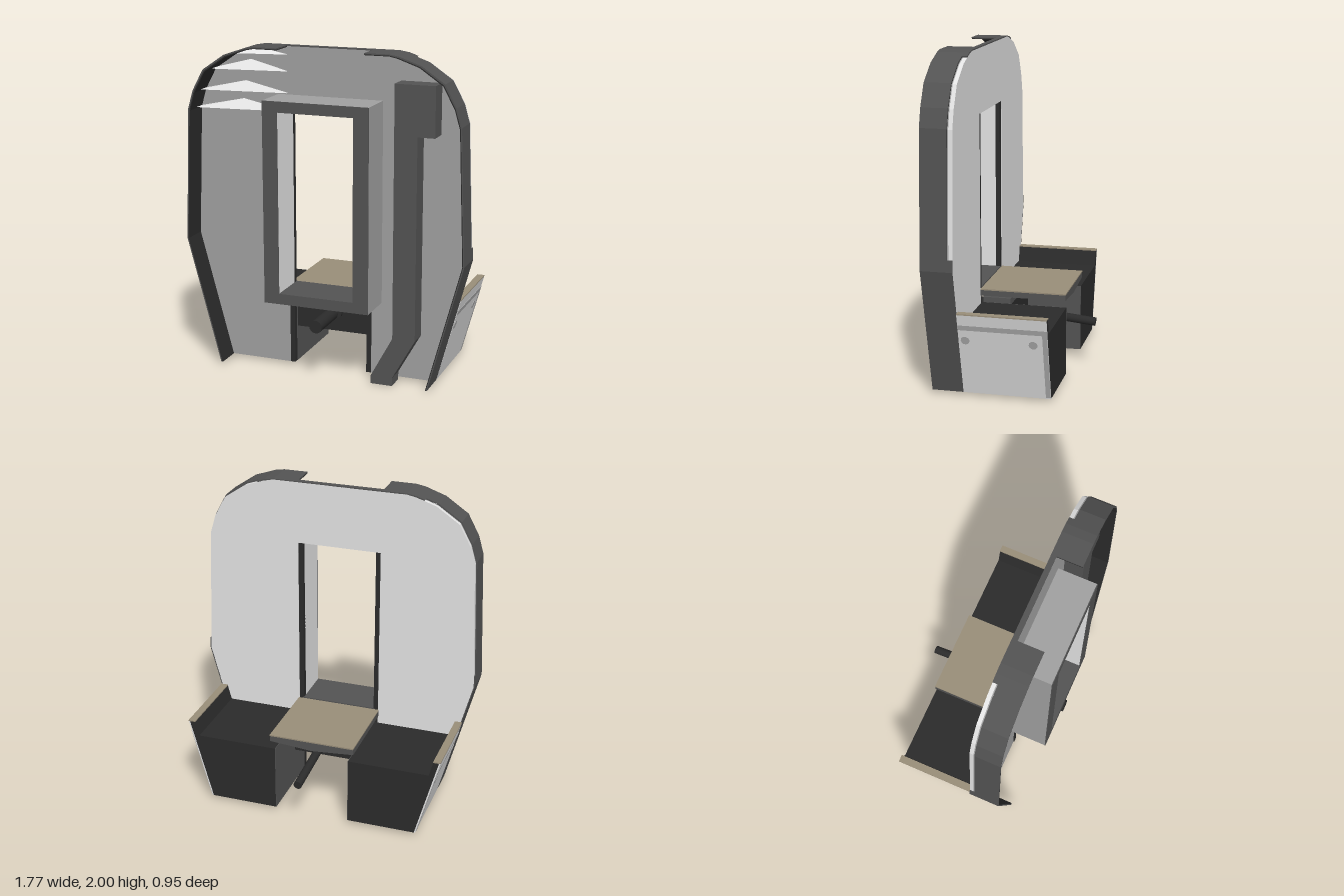
import * as THREE from 'three';
import { ConvexGeometry } from 'three/addons/geometries/ConvexGeometry.js';

export function createModel() {
  const model = new THREE.Group();
  const material = (name, color) => {
    const m = new THREE.MeshStandardMaterial({ color });
    m.name = name;
    return m;
  };
  const grey = material('grey', 0xa0a0a0);
  const white = material('white', 0xe3e3e3);
  const marking = material('marking grey', 0xaeaeae);
  const dark = material('dark grey', 0x535353);
  const black = material('black', 0x2b2b2b);
  const tan = material('tan', 0x998e79);

  const add = (name, geometry, mat, parent = model) => {
    const mesh = new THREE.Mesh(geometry, mat);
    mesh.name = name;
    parent.add(mesh);
    return mesh;
  };
  const box = (name, mat, x0, x1, y0, y1, z0, z1, parent = model) => {
    const mesh = add(name, new THREE.BoxGeometry(x1 - x0, y1 - y0, z1 - z0), mat, parent);
    mesh.position.set((x0 + x1) / 2, (y0 + y1) / 2, (z0 + z1) / 2);
  };
  const toShape = (pts) => new THREE.Shape(pts.map(([x, y]) => new THREE.Vector2(x, y)));
  const extrude = (name, mat, shape, z0, z1) => {
    const g = new THREE.ExtrudeGeometry(shape, { depth: z1 - z0, bevelEnabled: false });
    g.translate(0, 0, z0);
    add(name, g, mat);
  };
  const flip = (pts, s) => pts.map(([x, y]) => [s * x, y]);
  const rod = (name, from, to, r) => {
    const a = new THREE.Vector3(...from), b = new THREE.Vector3(...to);
    const mesh = add(name, new THREE.CylinderGeometry(r, r, a.distanceTo(b), 16), black);
    mesh.position.copy(a).add(b).multiplyScalar(0.5);
    mesh.quaternion.setFromUnitVectors(new THREE.Vector3(0, 1, 0), b.sub(a).normalize());
  };

  // Half outline of the wall, from the top centre down to the foot
  const outline = [[0.27, 2], [0.42, 2], [0.48, 1.99], [0.61, 1.945], [0.75, 1.85],
    [0.82, 1.72], [0.852, 1.61], [0.883, 0.8], [0.672, 0.018]];
  const inset = (pts, t) => pts.map(([x, y]) => [x - (x > 0.45 ? t : 0), y - (y > 1.6 ? t : 0)]);

  // Back wall with a doorway open to the floor: grey in front, white behind
  const half = [...inset(outline, 0.006), [0.265, 0.018], [0.265, 1.605]];
  const wall = toShape([...half, ...flip(half, -1).reverse()]);
  extrude('wallFront', grey, wall, 0.224, 0.23);
  extrude('wallBack', white, wall, 0.2, 0.224);

  // Rim around the wall, dark outside and black inside
  const ribbon = (name, mat, pts, s, t0, t1, z0, z1) => extrude(name, mat,
    toShape(flip([...inset(pts, t0), ...inset(pts, t1).reverse()], s)), z0, z1);
  for (const s of [1, -1]) {
    ribbon('rim', dark, outline, s, 0, 0.007, 0.232, 0.39);
    ribbon('rimLining', black, outline, s, 0.007, 0.012, 0.232, 0.389);
    ribbon('rimLowerBack', dark, [[0.88, 0.87], [0.883, 0.8], [0.672, 0.018]], s, 0, 0.007, 0.2, 0.232);
    ribbon('rimUpperBack', dark, [[0.27, 2], [0.42, 2], [0.48, 1.99], [0.53, 1.973]], s, 0, 0.007, 0.2, 0.232);
    box('doorPost', black, s * 0.25 - 0.015, s * 0.25 + 0.015, 0.02, 1.605, 0.203, 0.235);
  }
  box('rimTopStrip', dark, -0.27, 0.27, 1.993, 2, 0.2, 0.232);

  // Doorway frame: grey sides, dark face, white lining and dark sill
  const frame = (w, y0, y1) => {
    const f = toShape([[-0.33, 0.475], [0.33, 0.475], [0.33, 1.705], [-0.33, 1.705]]);
    f.holes.push(new THREE.Path([[-w, y0], [-w, y1], [w, y1], [w, y0]]
      .map(([a, b]) => new THREE.Vector2(a, b))));
    return f;
  };
  extrude('doorFrame', grey, frame(0.24, 0.535, 1.645), 0.23, 0.47);
  extrude('doorFrameFace', dark, frame(0.235, 0.54, 1.64), 0.47, 0.475);
  for (const s of [1, -1]) box('doorLining', white, s * 0.2375 - 0.0025, s * 0.2375 + 0.0025, 0.54, 1.64, 0.23, 0.47);
  box('doorLiningTop', white, -0.24, 0.24, 1.64, 1.645, 0.231, 0.47);
  box('doorSill', dark, -0.24, 0.24, 0.533, 0.54, 0.2, 0.47);

  // Bent pillar on the front
  extrude('pillar', dark, toShape([[0.305, 0], [0.44, 0], [0.44, 0.05], [0.58, 0.3], [0.58, 1.53],
    [0.685, 1.53], [0.685, 1.83], [0.44, 1.83], [0.44, 0.3], [0.305, 0.05]]), 0.23, 0.35);

  // Slanted fins in the upper corner: outer x and height
  for (const [x, y] of [[-0.84, 1.605], [-0.81, 1.715], [-0.74, 1.845], [-0.6, 1.945]]) {
    const mid = (x - 0.27) / 2, rise = y > 1.9 ? 0.03 : 0.06;
    add('fin', new ConvexGeometry([[x, y, 0.31], [-0.27, y, 0.25], [mid, y + rise, 0.231],
      [x, y, 0.231], [-0.27, y, 0.231]].map((p) => new THREE.Vector3(...p))), white);
  }

  // Rear side boxes with slanted, marked panels
  const slope = Math.atan2(0.143, 0.52);
  for (const s of [1, -1]) {
    extrude('sideBox', black, toShape(flip([[0.238, 0.018], [0.664, 0.018], [0.806, 0.533],
      [0.77, 0.533], [0.745, 0.44], [0.238, 0.44]], s)), -0.325, 0.2);
    box('sideBoxInnerFace', dark, s * 0.2365 - 0.0015, s * 0.2365 + 0.0015, 0.018, 0.44, -0.325, 0.2);
    extrude('sidePanel', white, toShape(flip([[0.664, 0.018], [0.672, 0.018], [0.814, 0.533],
      [0.805, 0.533]], s)), -0.325, 0.2);
    box('panelCap', tan, s * 0.792 - 0.0225, s * 0.792 + 0.0225, 0.533, 0.54, -0.327, 0.2);

    const marks = new THREE.Group();
    marks.name = 'panelMarkings';
    marks.position.set(s * 0.672, 0.018, 0);
    marks.rotation.z = -s * slope;
    model.add(marks);
    box('stripe', marking, -0.003, 0.003, 0.435, 0.467, -0.324, 0.2, marks);
    box('edgeStripe', marking, -0.003, 0.003, 0.01, 0.435, -0.324, -0.296, marks);
    for (const z of [0.16, -0.24]) {
      const dot = add('dot', new THREE.CylinderGeometry(0.026, 0.026, 0.006, 12), marking, marks);
      dot.rotation.z = Math.PI / 2;
      dot.position.set(0, 0.366, z);
    }
  }

  // Centre seat with a shallow pointed underside
  extrude('seatBase', dark, toShape([[-0.27, 0.525], [-0.27, 0.49], [0, 0.468], [0.27, 0.49],
    [0.27, 0.525]]), -0.325, 0.2);
  box('seatTop', tan, -0.27, 0.27, 0.525, 0.533, -0.327, 0.2);

  // Centre block, its dark ledge and the rods under the seat
  box('centreBlock', black, -0.235, 0.235, 0.245, 0.432, 0.02, 0.19);
  box('centreLedge', dark, -0.235, 0.235, 0.432, 0.473, 0.02, 0.19);
  rod('frontRod', [0, 0.36, 0.15], [0, 0.36, 0.477], 0.04);
  rod('rearRod', [0.037, 0.365, 0.21], [0.037, 0.3, -0.47], 0.026);

  return model;
}
